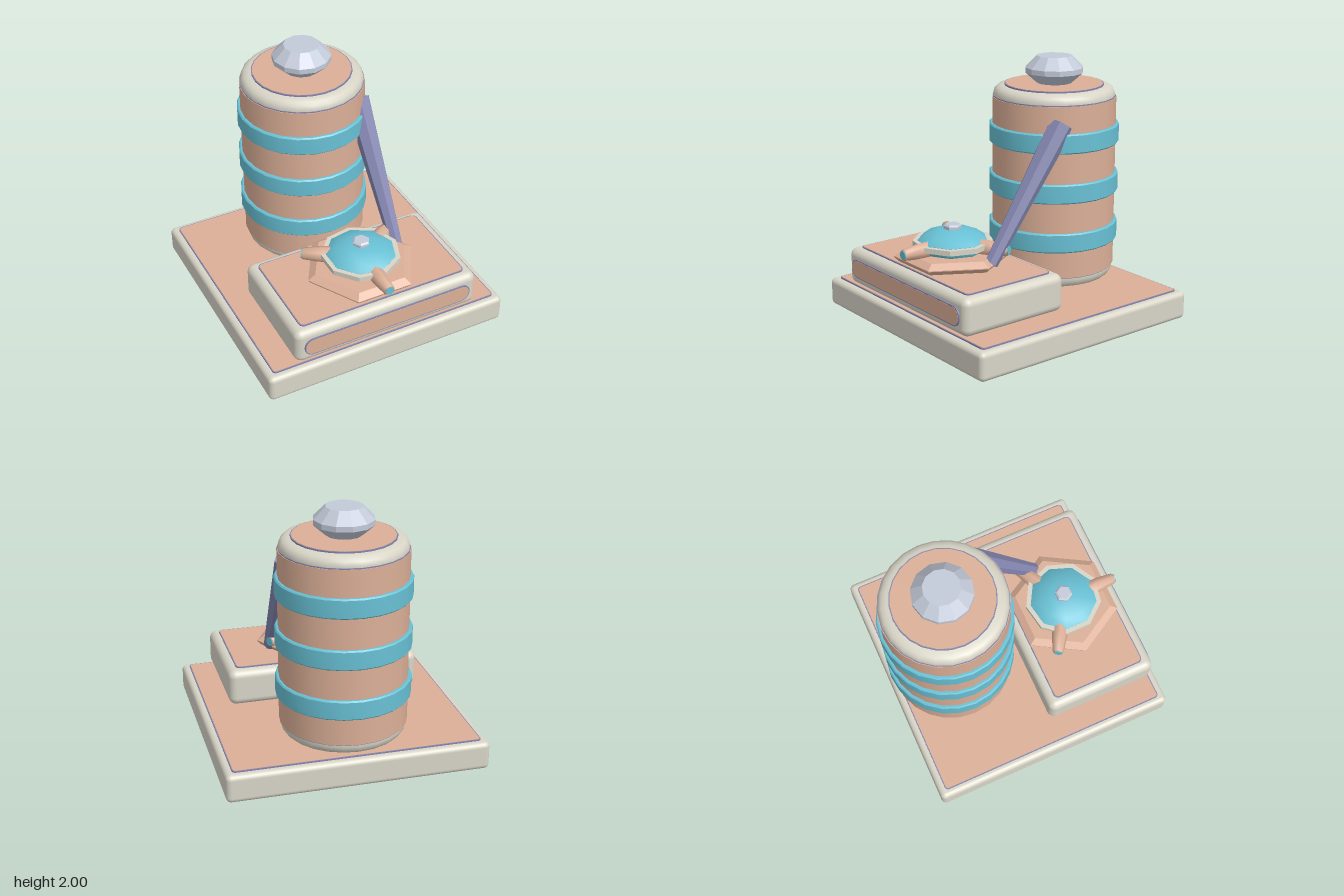
import * as THREE from 'three';
import { toCreasedNormals } from 'three/addons/utils/BufferGeometryUtils.js';
import { RoundedBoxGeometry } from 'three/addons/geometries/RoundedBoxGeometry.js';

const paint = (name, color) => {
  const m = new THREE.MeshStandardMaterial({ color });
  m.name = name;
  return m;
};

export function createModel() {
  const cream = paint('cream', 0xd8d5c7);
  const tan = paint('tan', 0xdbaf97);
  const teal = paint('teal', 0x68c0d4);
  const purple = paint('purple', 0x8486b0);
  const steel = paint('steel', 0xc3cad8);

  const model = new THREE.Group();
  const add = (parent, name, geometry, material, x = 0, y = 0, z = 0) => {
    const mesh = new THREE.Mesh(geometry, material);
    mesh.name = name;
    mesh.position.set(x, y, z);
    parent.add(mesh);
    return mesh;
  };
  const group = (name, x, y, z) => {
    const g = new THREE.Group();
    g.name = name;
    g.position.set(x, y, z);
    model.add(g);
    return g;
  };

  // Turned solid from [radius, height] pairs, listed bottom to top, one corner on +x
  const turned = (pairs, sides, crease = 0.6) => toCreasedNormals(
    new THREE.LatheGeometry(pairs.map(([r, y]) => new THREE.Vector2(r, y)), sides, Math.PI / 2), crease);

  // Thin plate with rounded corners, facing +z from z = 0
  const plate = (w, h, r, depth) => {
    const s = new THREE.Shape();
    const x = w / 2, y = h / 2;
    s.absarc(x - r, y - r, r, 0, Math.PI / 2);
    s.absarc(-x + r, y - r, r, Math.PI / 2, Math.PI);
    s.absarc(-x + r, -y + r, r, Math.PI, Math.PI * 1.5);
    s.absarc(x - r, -y + r, r, Math.PI * 1.5, Math.PI * 2);
    return new THREE.ExtrudeGeometry(s, { depth, bevelEnabled: false, curveSegments: 6 });
  };
  // Tan panel in a purple rim
  const panel = (name, w, h, r, depth, x, y, z, tilt) => {
    const g = group(name, x, y, z);
    g.rotation.x = tilt;
    add(g, 'panelRim', plate(w, h, r, depth), purple);
    add(g, 'panelFace', plate(w - 0.016, h - 0.016, r - 0.008, depth + 0.002), tan);
  };

  // Base slab with panels above and below
  add(model, 'baseSlab', new RoundedBoxGeometry(2, 0.22, 2, 4, 0.04), cream, 0, 0.12, 0);
  panel('baseTopPanel', 1.89, 1.89, 0.03, 0.011, 0, 0.229, 0, -Math.PI / 2);
  panel('baseBottomPanel', 1.89, 1.89, 0.03, 0.009, 0, 0.011, 0, Math.PI / 2);

  // Front block
  add(model, 'frontBlock', new RoundedBoxGeometry(1.53, 0.29, 0.91, 4, 0.06), cream, 0, 0.395, 0.505);
  panel('blockTopPanel', 1.39, 0.77, 0.04, 0.01, 0, 0.539, 0.505, -Math.PI / 2);
  panel('blockFrontPanel', 1.4, 0.15, 0.07, 0.011, 0, 0.393, 0.959, 0);

  // Tank
  const tank = group('tank', 0, 0, -0.485);
  add(tank, 'tankFoot', turned([[0, 0.232], [0.385, 0.232], [0.385, 0.26]], 24), purple);
  add(tank, 'tankBottomCap', turned(
    [[0, 0.25], [0.41, 0.25], [0.445, 0.262], [0.466, 0.285], [0.475, 0.315], [0.475, 0.345]], 24), cream);
  add(tank, 'tankLowerSeam', turned([[0, 0.334], [0.48, 0.334], [0.48, 0.342]], 24), purple);
  add(tank, 'tankBody', turned([[0, 0.34], [0.485, 0.34], [0.485, 1.69], [0, 1.69]], 24), tan);
  add(tank, 'tankUpperSeam', turned([[0.48, 1.689], [0.48, 1.698], [0, 1.698]], 24), purple);
  add(tank, 'tankTopCap', turned(
    [[0.475, 1.69], [0.475, 1.71], [0.466, 1.74], [0.445, 1.762], [0.41, 1.775], [0, 1.775]], 24), cream);
  add(tank, 'tankLidRim', turned([[0.388, 1.77], [0.388, 1.786], [0, 1.786]], 24), purple);
  add(tank, 'tankLid', turned([[0.38, 1.784], [0.38, 1.788], [0, 1.788]], 24), tan);
  for (const y of [0.55, 0.94, 1.33]) {
    add(tank, 'tankBand', turned([[0.48, 0], [0.5, 0], [0.51, 0.01], [0.51, 0.142],
      [0.5, 0.152], [0.48, 0.152]], 24), teal, 0, y, 0);
  }
  add(tank, 'tankKnob', turned(
    [[0, 1.787], [0.135, 1.787], [0.228, 1.87], [0.228, 1.91], [0.138, 2], [0, 2]], 12, 0.1), steel);

  // Valve on the block
  const valve = group('valve', 0, 0, 0.505);
  add(valve, 'valvePlate', turned(
    [[0, 0.55], [0.41, 0.55], [0.445, 0.585], [0.445, 0.592], [0.385, 0.63], [0, 0.63]], 6, 0.1), tan);
  add(valve, 'valveDome', turned([[0.24, 0.62], [0.265, 0.66], [0.268, 0.71], [0.2, 0.76],
    [0.11, 0.79], [0, 0.797]], 9, 0.9), teal);
  add(valve, 'valveCollar', turned(
    [[0.25, 0.668], [0.305, 0.668], [0.305, 0.708], [0.25, 0.708]], 9, 0.1), cream);
  add(valve, 'valveNut', turned(
    [[0.07, 0.78], [0.07, 0.815], [0.055, 0.827], [0, 0.827]], 6, 0.1), steel);

  // Three nozzles around the dome
  for (let i = 0; i < 3; i++) {
    const nozzle = new THREE.Group();
    nozzle.name = 'nozzle';
    nozzle.position.y = 0.67;
    nozzle.rotation.order = 'YXZ';
    nozzle.rotation.set(Math.PI / 2, i * Math.PI * 2 / 3, 0);
    valve.add(nozzle);
    add(nozzle, 'nozzleBody', turned(
      [[0.062, 0.2], [0.062, 0.3], [0.045, 0.44], [0.038, 0.45], [0, 0.45]], 8, 0.9), tan);
    add(nozzle, 'nozzleTip', turned([[0.036, 0.44], [0.036, 0.457], [0, 0.457]], 8), teal);
  }

  // Slanted lever leaning into the tank
  const foot = new THREE.Vector3(0.358, 0.585, 0.42);
  const head = new THREE.Vector3(0.358, 1.545, -0.25);
  const along = head.clone().sub(foot);
  const lever = add(model, 'lever', turned(
    [[0, 0], [0.052, 0], [0.1, along.length()], [0, along.length()]], 7, 0.1), purple, foot.x, foot.y, foot.z);
  lever.quaternion.setFromUnitVectors(new THREE.Vector3(0, 1, 0), along.normalize());

  return model;
}
